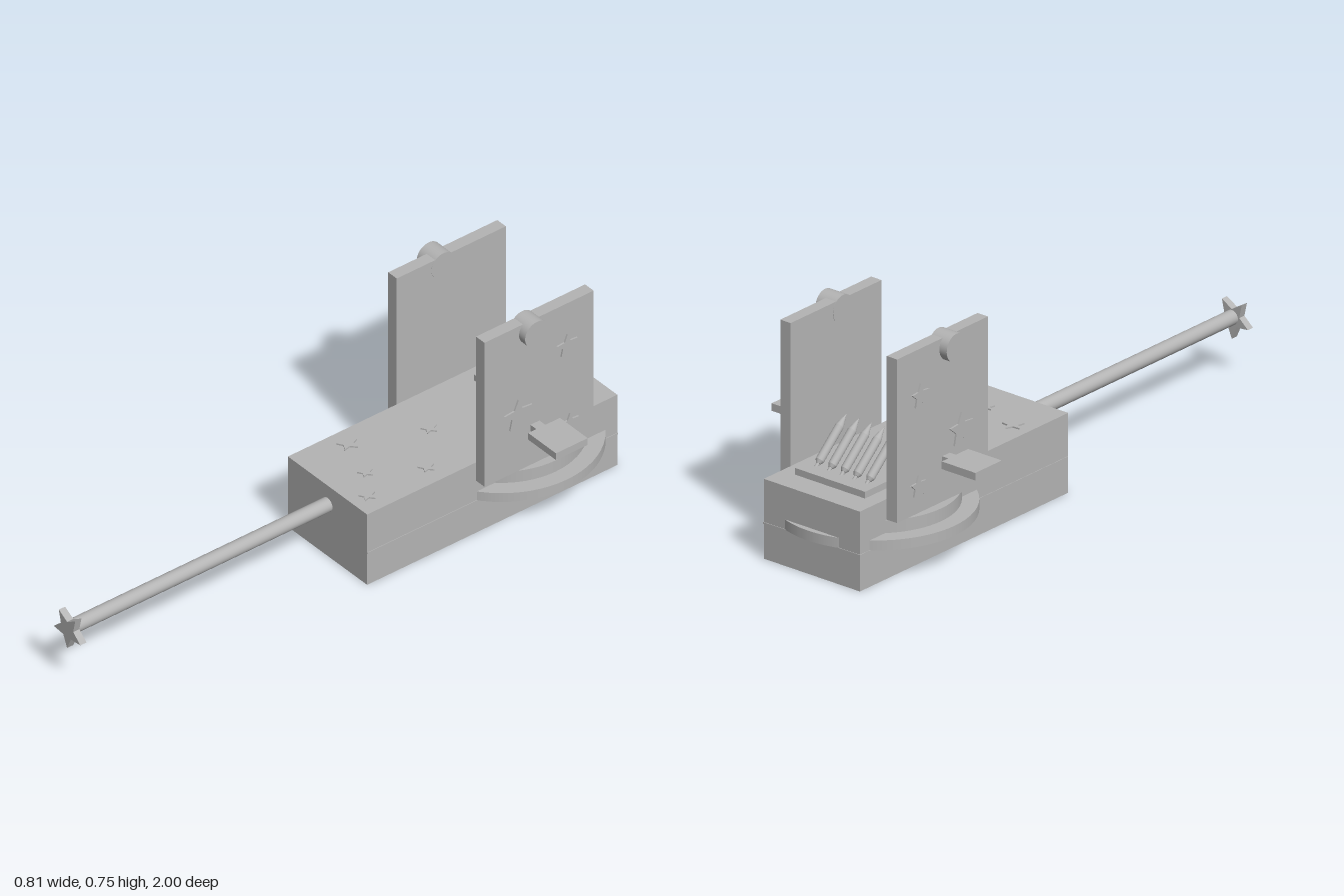
import * as THREE from 'three';

const grey = new THREE.MeshStandardMaterial({ color: 0xb4b4b4 });
grey.name = 'plain grey';

function add(parent, name, geometry, x = 0, y = 0, z = 0) {
  const mesh = new THREE.Mesh(geometry, grey);
  mesh.name = name;
  mesh.position.set(x, y, z);
  parent.add(mesh);
  return mesh;
}

// Box given by its extents on each axis
function box(parent, name, [x0, x1], [y0, y1], [z0, z1]) {
  return add(parent, name, new THREE.BoxGeometry(x1 - x0, y1 - y0, z1 - z0),
    (x0 + x1) / 2, (y0 + y1) / 2, (z0 + z1) / 2);
}

// Five-pointed star plate in the xy plane, one point up, thickness along +z
function starGeometry(radius, depth) {
  const shape = new THREE.Shape();
  for (let i = 0; i < 10; i++) {
    const r = i % 2 ? radius * 0.46 : radius;
    const a = Math.PI / 2 + i * Math.PI / 5;
    shape[i ? 'lineTo' : 'moveTo'](r * Math.cos(a), r * Math.sin(a));
  }
  shape.closePath();
  return new THREE.ExtrudeGeometry(shape, { depth, bevelEnabled: false });
}

export function createModel() {
  const model = new THREE.Group();
  model.name = 'toyVehicle';

  // Hull with a fine raised seam along its sides
  box(model, 'hull', [-0.19, 0.19], [0, 0.263], [-0.98, -0.01]);
  box(model, 'hullSeam', [-0.192, 0.192], [0.115, 0.121], [-0.982, -0.012]);

  // Two stacked discs passing through the hull
  add(model, 'largeDisc', new THREE.CylinderGeometry(0.314, 0.314, 0.033, 64), 0, 0.1365, -0.685);
  add(model, 'smallDisc', new THREE.CylinderGeometry(0.261, 0.261, 0.042, 64), 0, 0.174, -0.684);

  // Long front rod with a star on its end, point down
  const rod = add(model, 'frontRod', new THREE.CylinderGeometry(0.024, 0.024, 1, 32), 0, 0.193, 0.48);
  rod.rotation.x = Math.PI / 2;
  const tip = add(model, 'rodStar', starGeometry(0.067, 0.024), 0, 0.189, 0.976);
  tip.rotation.z = Math.PI;

  // Small stars lying on the deck: x, z, radius
  for (const [x, z, r] of [[-0.125, -0.19, 0.036], [0.023, -0.14, 0.026], [0.118, -0.07, 0.028],
    [0.118, -0.3, 0.028], [-0.03, -0.43, 0.027]]) {
    const star = add(model, 'deckStar', starGeometry(r, 0.005), x, 0.263, z);
    star.rotation.x = -Math.PI / 2;
  }

  // Rocket rack at the back, rockets leaning forward
  box(model, 'rocketPlate', [-0.138, 0.138], [0.263, 0.285], [-0.895, -0.69]);
  for (let i = -2; i <= 2; i++) {
    const rocket = new THREE.Group();
    rocket.name = 'rocket';
    rocket.position.set(i * 0.05, 0.28, -0.845);
    rocket.rotation.x = Math.atan2(0.145, 0.13);
    add(rocket, 'rocketPin', new THREE.CylinderGeometry(0.006, 0.006, 0.02, 12), 0, 0.008, 0);
    add(rocket, 'rocketTail', new THREE.CylinderGeometry(0.014, 0.008, 0.01, 16), 0, 0.021, 0);
    add(rocket, 'rocketBody', new THREE.CylinderGeometry(0.014, 0.014, 0.124, 16), 0, 0.088, 0);
    add(rocket, 'rocketNose', new THREE.ConeGeometry(0.014, 0.045, 16), 0, 0.1725, 0);
    model.add(rocket);
  }

  // Upright side panels with knob, arm and stars on the outer face
  for (const side of [1, -1]) {
    const wing = new THREE.Group();
    wing.name = side > 0 ? 'leftWing' : 'rightWing';
    const span = (a, b) => (side > 0 ? [a, b] : [-b, -a]);
    box(wing, 'sidePanel', span(0.19, 0.231), [0.195, 0.734], [-0.855, -0.432]);
    const knob = add(wing, 'knob', new THREE.CylinderGeometry(0.046, 0.046, 0.071, 40),
      side * 0.2245, 0.7, -0.612);
    knob.rotation.z = Math.PI / 2;
    box(wing, 'armBracket', span(0.225, 0.33), [0.323, 0.345], [-0.645, -0.61]);
    box(wing, 'armPlate', span(0.27, 0.403), [0.33, 0.355], [-0.693, -0.57]);
    for (const [y, z, r] of [[0.58, -0.75, 0.041], [0.407, -0.56, 0.056], [0.285, -0.76, 0.036]]) {
      const star = add(wing, 'panelStar', starGeometry(r, 0.006), side * 0.231, y, z);
      star.rotation.y = side * Math.PI / 2;
    }
    model.add(wing);
  }
  return model;
}
